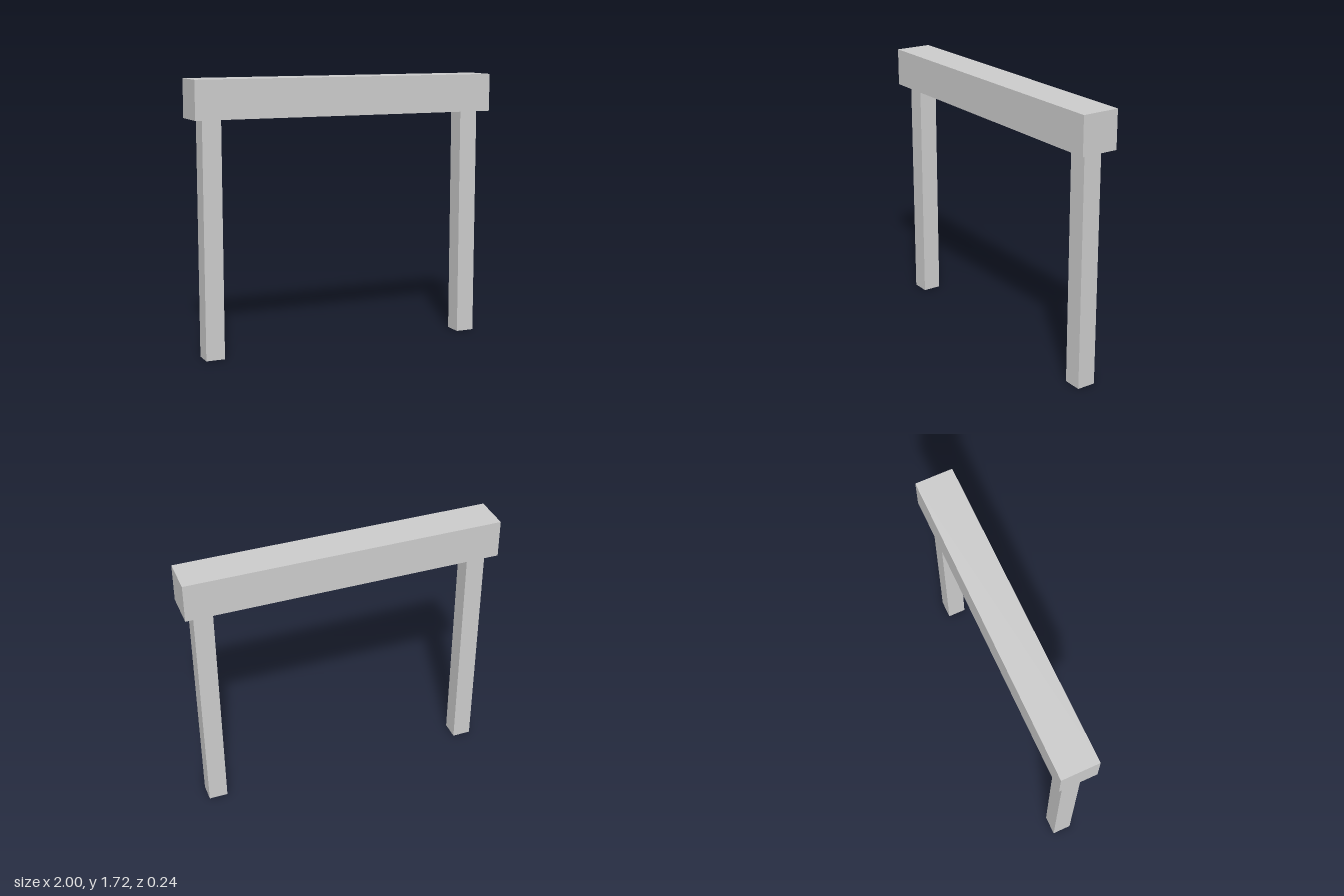
import * as THREE from 'three';

const BEAM = { length: 2, height: 0.24, depth: 0.24 };
const POST = { width: 0.12, height: 1.48, x: 0.88 };

export function createModel() {
  const model = new THREE.Group();
  model.name = 'postAndBeamFrame';
  const material = new THREE.MeshStandardMaterial({ color: 0xcccccc, flatShading: true });

  const addBox = (name, w, h, d, x, bottom) => {
    const mesh = new THREE.Mesh(new THREE.BoxGeometry(w, h, d), material);
    mesh.name = name;
    mesh.position.set(x, bottom + h / 2, 0);
    model.add(mesh);
  };

  // Horizontal beam resting on the posts
  addBox('beam', BEAM.length, BEAM.height, BEAM.depth, 0, POST.height);

  // Mirrored square posts
  for (const [name, side] of [['leftPost', 1], ['rightPost', -1]]) {
    addBox(name, POST.width, POST.height, POST.width, side * POST.x, 0);
  }

  return model;
}
